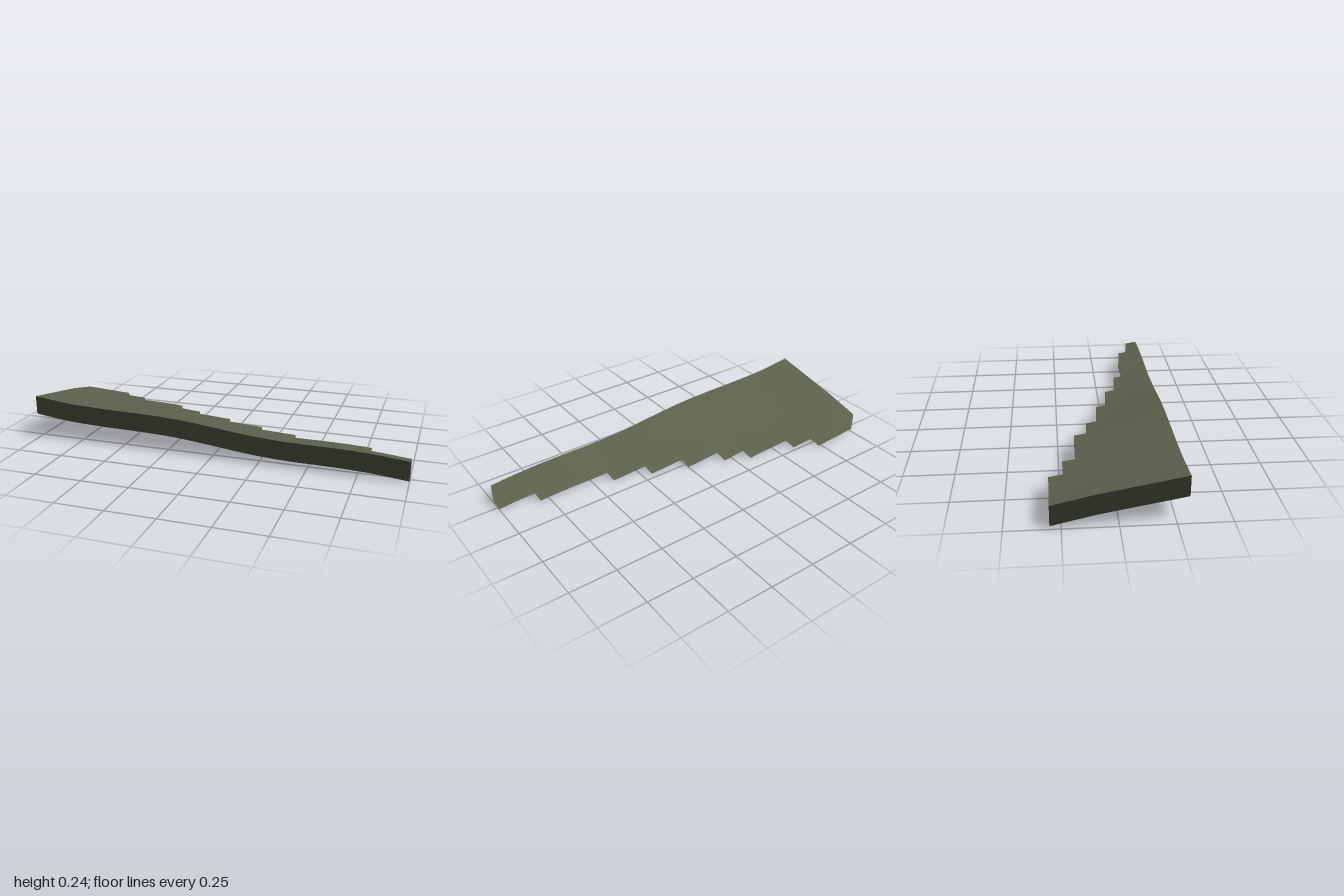
import * as THREE from 'three';

const STEP = 1 / 15, DEPTH = 0.1, COLS = 30, ROWS = 9;
// Cells filled from the left in each row, back to front
const rowEnds = [4, 6, 10, 12, 15, 18, 21, 27, 30];

// Top heights along x from -1 to 1, one curve for each line from front to back
const profiles = [
  [0.238, 0.215, 0.206, 0.202, 0.194, 0.174, 0.151, 0.138, 0.136, 0.129, 0.111],
  [0.201, 0.179, 0.167, 0.161, 0.145, 0.127, 0.114, 0.104, 0.103, 0.096, 0.078],
  [0.164, 0.142, 0.127, 0.119, 0.102, 0.090, 0.078, 0.070, 0.070, 0.063, 0.045],
  [0.117, 0.105, 0.094, 0.086, 0.068, 0.055, 0.042, 0.036, 0.037, 0.030, 0.012],
].map(row => new THREE.CatmullRomCurve3(
  row.map((y, i) => new THREE.Vector3(i / 5 - 1, y, 0)), false, 'catmullrom', 0.5));

// Point on the top surface (or lowered by drop) at a grid corner
function point(col, row, drop = 0) {
  const d = (ROWS - row) / 3, k = Math.min(Math.floor(d), 2);
  const [front, back] = [profiles[k], profiles[k + 1]].map(p => p.getPoint(col / COLS).y);
  return [col * STEP - 1, THREE.MathUtils.lerp(front, back, d - k) - drop, row * STEP - 0.3];
}

function build(positions, index) {
  const g = new THREE.BufferGeometry();
  g.setAttribute('position', new THREE.Float32BufferAttribute(positions, 3));
  g.setIndex(index);
  return g;
}

// Smooth top sheet covering the filled cells
function topSheet() {
  const pos = [], index = [];
  for (let r = 0; r <= ROWS; r++)
    for (let c = 0; c <= COLS; c++) pos.push(...point(c, r));
  rowEnds.forEach((end, r) => {
    for (let c = 0; c < end; c++) {
      const a = r * (COLS + 1) + c, b = a + COLS + 1;
      index.push(a, b, b + 1, a, b + 1, a + 1);
    }
  });
  const g = build(pos, index);
  g.computeVertexNormals();
  return g;
}

// Skirt hanging from the stepped outline, shaded continuously with the top; open below
function skirt(top) {
  const pos = [], normals = [], index = [];
  const topNormal = new THREE.Vector3();
  const corners = [[0, 0], [0, ROWS], [COLS, ROWS]];
  for (let r = ROWS - 1; r >= 0; r--) {
    corners.push([rowEnds[r], r]);
    corners.push([r > 0 ? rowEnds[r - 1] : 0, r]);
  }
  for (let i = 0; i < corners.length - 1; i++) {
    const [c0, r0] = corners[i], [c1, r1] = corners[i + 1];
    const n = Math.abs(c1 - c0) + Math.abs(r1 - r0);
    for (let k = 0; k <= n; k++) {
      const c = c0 + Math.round((c1 - c0) * k / n), r = r0 + Math.round((r1 - r0) * k / n);
      const v = pos.length / 3;
      topNormal.fromBufferAttribute(top.attributes.normal, r * (COLS + 1) + c);
      pos.push(...point(c, r, DEPTH), ...point(c, r));
      normals.push(...topNormal, ...topNormal);
      if (k < n) index.push(v, v + 2, v + 3, v, v + 3, v + 1);
    }
  }
  const g = build(pos, index);
  g.setAttribute('normal', new THREE.Float32BufferAttribute(normals, 3));
  return g;
}

export function createModel() {
  const group = new THREE.Group();
  group.name = 'steppedTerrain';
  const olive = new THREE.MeshStandardMaterial({ color: 0x61614f, side: THREE.DoubleSide });
  olive.name = 'oliveGrey';
  const add = (name, geometry) => {
    const mesh = new THREE.Mesh(geometry, olive);
    mesh.name = name;
    group.add(mesh);
  };
  const top = topSheet();
  add('topSurface', top);
  add('edgeSkirt', skirt(top));
  return group;
}
